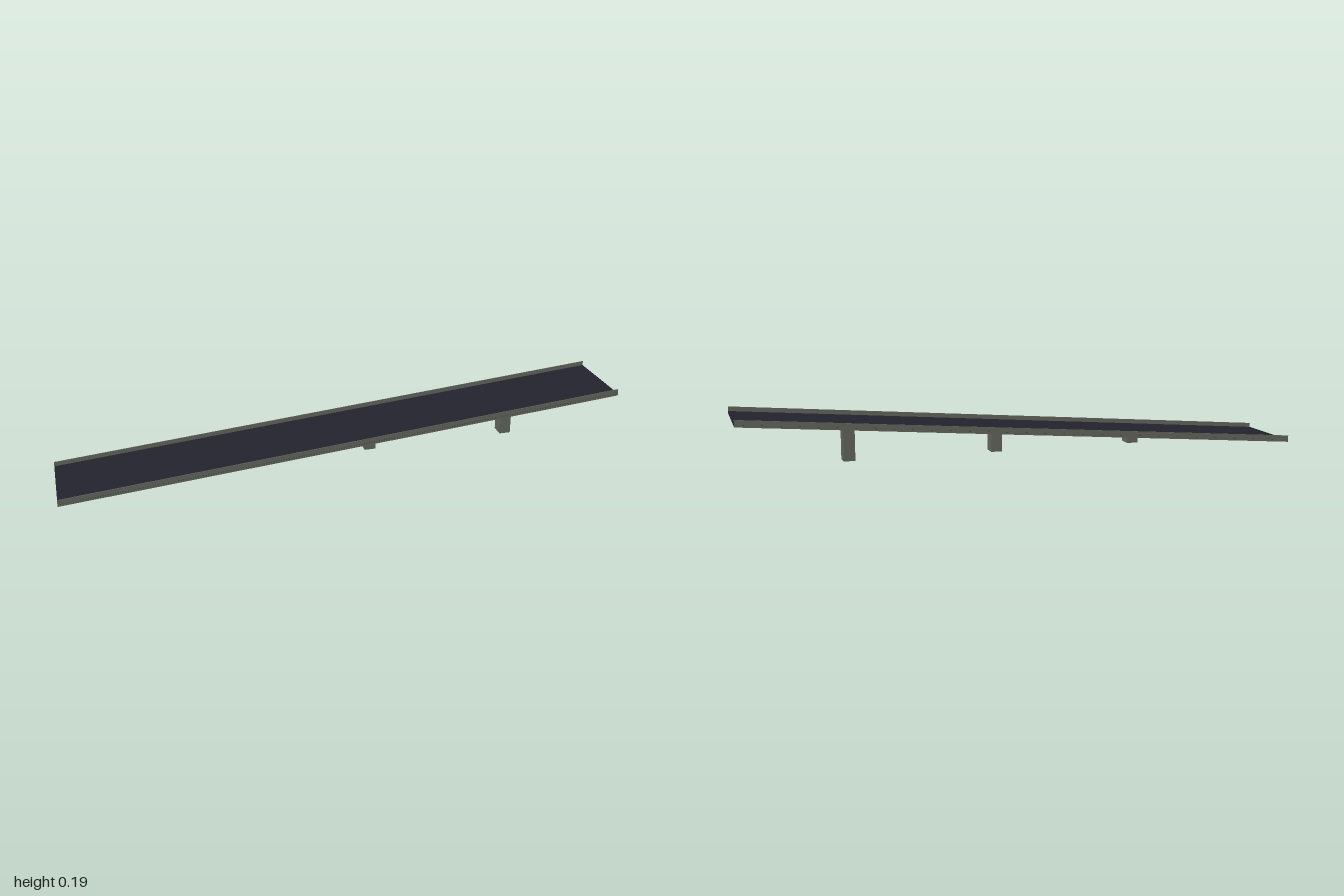
import * as THREE from 'three';

const SLOPE = 0.084;
const DECK = 0.008; // slab thickness
const RAIL = 0.0155; // kerb wall height
const HALF_WIDTH = 0.144;

export function createModel() {
  const ramp = new THREE.Group();
  ramp.name = 'ramp';
  const asphalt = new THREE.MeshStandardMaterial({ color: 0x23232e });
  asphalt.name = 'asphalt';
  const concrete = new THREE.MeshStandardMaterial({ color: 0x62655c });
  concrete.name = 'concrete';

  const underside = (x) => SLOPE * (x + 1);

  // Shears a box so it follows the incline while its ends stay vertical
  function inclined(geometry, lift) {
    const p = geometry.attributes.position;
    for (let i = 0; i < p.count; i++) p.setY(i, p.getY(i) + lift + underside(p.getX(i)));
    geometry.computeVertexNormals();
    return geometry;
  }

  function add(name, geometry, material) {
    const mesh = new THREE.Mesh(geometry, material);
    mesh.name = name;
    ramp.add(mesh);
    return mesh;
  }

  // Road deck: asphalt on top and ends, concrete below and along the sides
  add('roadDeck', inclined(new THREE.BoxGeometry(2, DECK, HALF_WIDTH * 2), DECK / 2),
    [asphalt, asphalt, asphalt, concrete, concrete, concrete]);

  // Thin side walls just inside the deck edges
  for (const side of [-1, 1]) {
    const wall = inclined(new THREE.BoxGeometry(2, RAIL, 0.003), DECK + RAIL / 2);
    add(side > 0 ? 'frontWall' : 'backWall', wall, concrete).position.z = side * 0.1415;
  }

  // Support pillars, with tops cut to meet the sloping underside
  [-0.42, 0.1, 0.62].forEach((x, i) => {
    const geometry = new THREE.BoxGeometry(0.04, 1, 0.048);
    geometry.translate(x, 0, 0);
    const p = geometry.attributes.position;
    for (let k = 0; k < p.count; k++) {
      p.setY(k, p.getY(k) > 0 ? underside(p.getX(k)) + 0.001 : 0.01);
    }
    geometry.computeVertexNormals();
    add('pillar' + (i + 1), geometry, concrete);
  });

  return ramp;
}
